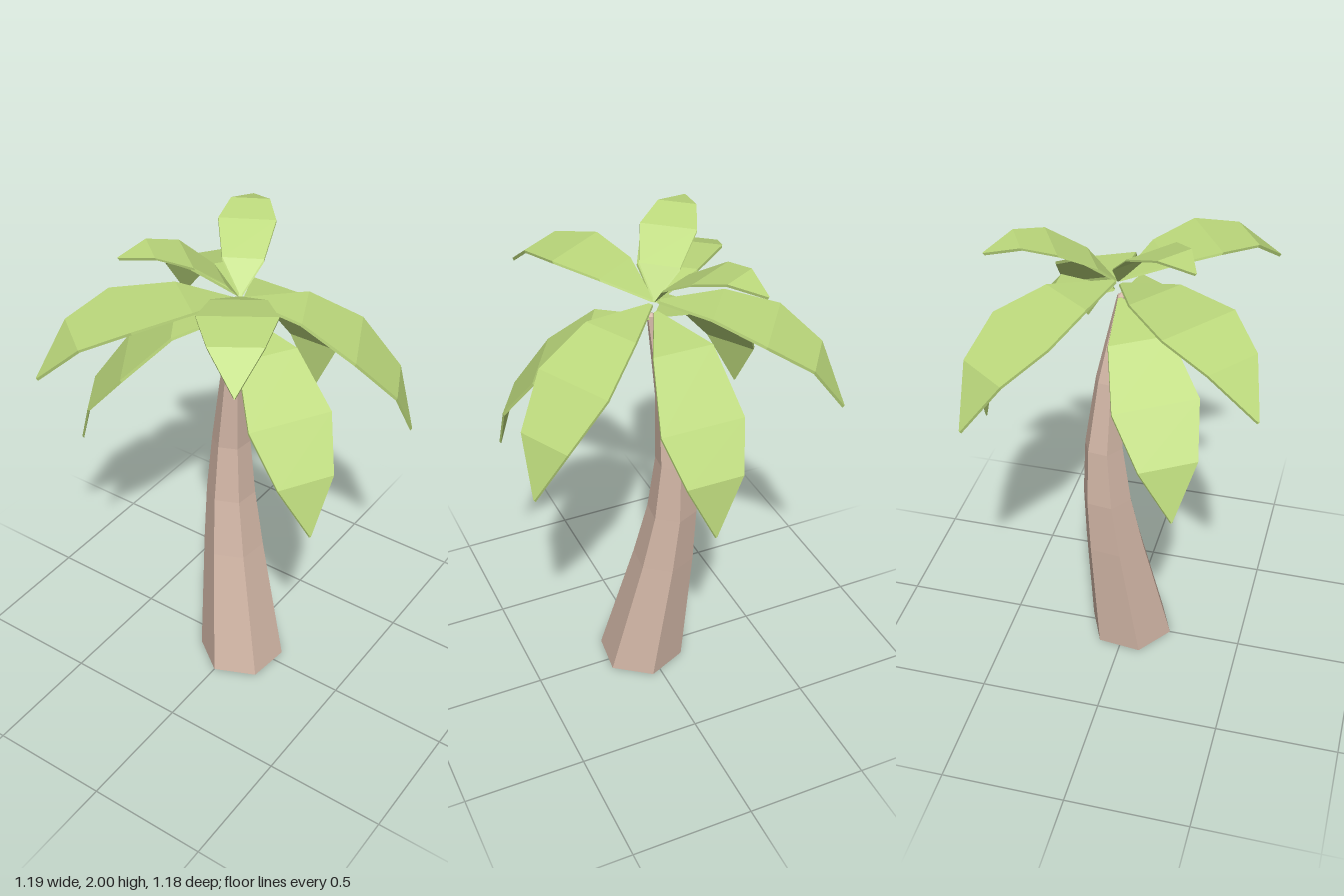
import * as THREE from 'three';

// Skin a list of equally long closed rings; every ring runs counterclockwise
// when looked at against the direction of travel.
function loft(rings) {
  const n = rings[0].length;
  const index = [];
  for (let i = 0; i < rings.length - 1; i++) {
    for (let k = 0; k < n; k++) {
      const a = i * n + k, b = i * n + (k + 1) % n;
      index.push(a, b, b + n, a, b + n, a + n);
    }
  }
  const geometry = new THREE.BufferGeometry();
  geometry.setAttribute('position', new THREE.Float32BufferAttribute(rings.flat(2), 3));
  geometry.setIndex(index);
  geometry.computeVertexNormals();
  return geometry;
}

// Six-sided trunk, bending and tapering: [x, y, z, radius]
const TRUNK = [
  [0.02, 0, 0.015, 0.181],
  [-0.06, 0.55, -0.04, 0.126],
  [-0.088, 0.8, -0.062, 0.102],
  [-0.093, 1.05, -0.072, 0.079],
  [-0.07, 1.35, -0.055, 0.053],
  [-0.015, 1.69, -0.017, 0.018],
  [-0.015, 1.7, -0.017, 0.002],
];

function trunkGeometry() {
  return loft(TRUNK.map(([x, y, z, r]) =>
    Array.from({ length: 6 }, (_, k) => {
      const a = -1.681 + k * Math.PI / 3;
      return [x + r * Math.cos(a), y, z - r * Math.sin(a)];
    })));
}

// Fronds grow from the crown: heading [x, z], width scale, and an arc of
// [distance from crown, height] from the stem to the tip
const CROWN = [-0.02, -0.03];
const FROND_WIDTHS = [0.016, 0.235, 0.33, 0.225, 0.006];
const FRONDS = [
  // hanging fronds
  { to: [0, -1], w: 1, arc: [[0.02, 1.72], [0.255, 1.68], [0.43, 1.46], [0.54, 1.29], [0.56, 1.06]] },
  { to: [0.535, 0.32], w: 1, arc: [[0.02, 1.69], [0.24, 1.64], [0.435, 1.47], [0.57, 1.29], [0.62, 1.08]] },
  { to: [-0.525, 0.33], w: 1, arc: [[0.02, 1.69], [0.25, 1.64], [0.44, 1.48], [0.58, 1.31], [0.63, 1.1]] },
  // arching fronds
  { to: [0.615, -0.3], w: 1, arc: [[0.02, 1.75], [0.242, 1.73], [0.447, 1.61], [0.605, 1.44], [0.67, 1.23]] },
  { to: [-0.58, -0.43], w: 1, arc: [[0.02, 1.76], [0.24, 1.77], [0.445, 1.71], [0.615, 1.6], [0.725, 1.4]] },
  { to: [-0.475, 0.615], w: 1, arc: [[0.02, 1.75], [0.215, 1.79], [0.455, 1.78], [0.635, 1.71], [0.777, 1.55]] },
  // upright fronds
  { to: [0.35, 0.54], w: 0.87, arc: [[0.01, 1.76], [0.17, 1.84], [0.35, 1.88], [0.513, 1.86], [0.65, 1.75]] },
  { to: [-0.235, -0.43], w: 0.66, arc: [[0.01, 1.76], [0.097, 1.86], [0.245, 1.945], [0.367, 1.97], [0.49, 1.93]] },
  { to: [-0.285, 0.345], w: 0.66, arc: [[0.01, 1.76], [0.077, 1.86], [0.2, 1.96], [0.328, 2], [0.447, 1.98]] },
];

function frondGeometry({ to, w, arc }) {
  const length = Math.hypot(...to);
  const dx = to[0] / length, dz = to[1] / length;
  // side is measured across the frond
  const point = (r, y, side) => [CROWN[0] + dx * r + dz * side, y, CROWN[1] + dz * r - dx * side];
  return loft(arc.map(([r, y], i) => {
    const half = FROND_WIDTHS[i] * w / 2;
    const rIn = r - 0.006, yLow = y - 0.01; // thin underside
    return [point(r, y, half), point(r, y, -half), point(rIn, yLow, -half), point(rIn, yLow, half)];
  }));
}

export function createModel() {
  const model = new THREE.Group();
  model.name = 'palmTree';

  const bark = new THREE.MeshStandardMaterial({ color: 0xd2b6a6, flatShading: true, side: THREE.DoubleSide });
  const leaf = new THREE.MeshStandardMaterial({ color: 0xbcd97c, flatShading: true, side: THREE.DoubleSide });

  const trunk = new THREE.Mesh(trunkGeometry(), bark);
  trunk.name = 'trunk';
  model.add(trunk);

  const fronds = new THREE.Group();
  fronds.name = 'fronds';
  FRONDS.forEach((spec, i) => {
    const frond = new THREE.Mesh(frondGeometry(spec), leaf);
    frond.name = `frond${i + 1}`;
    fronds.add(frond);
  });
  model.add(fronds);

  return model;
}
